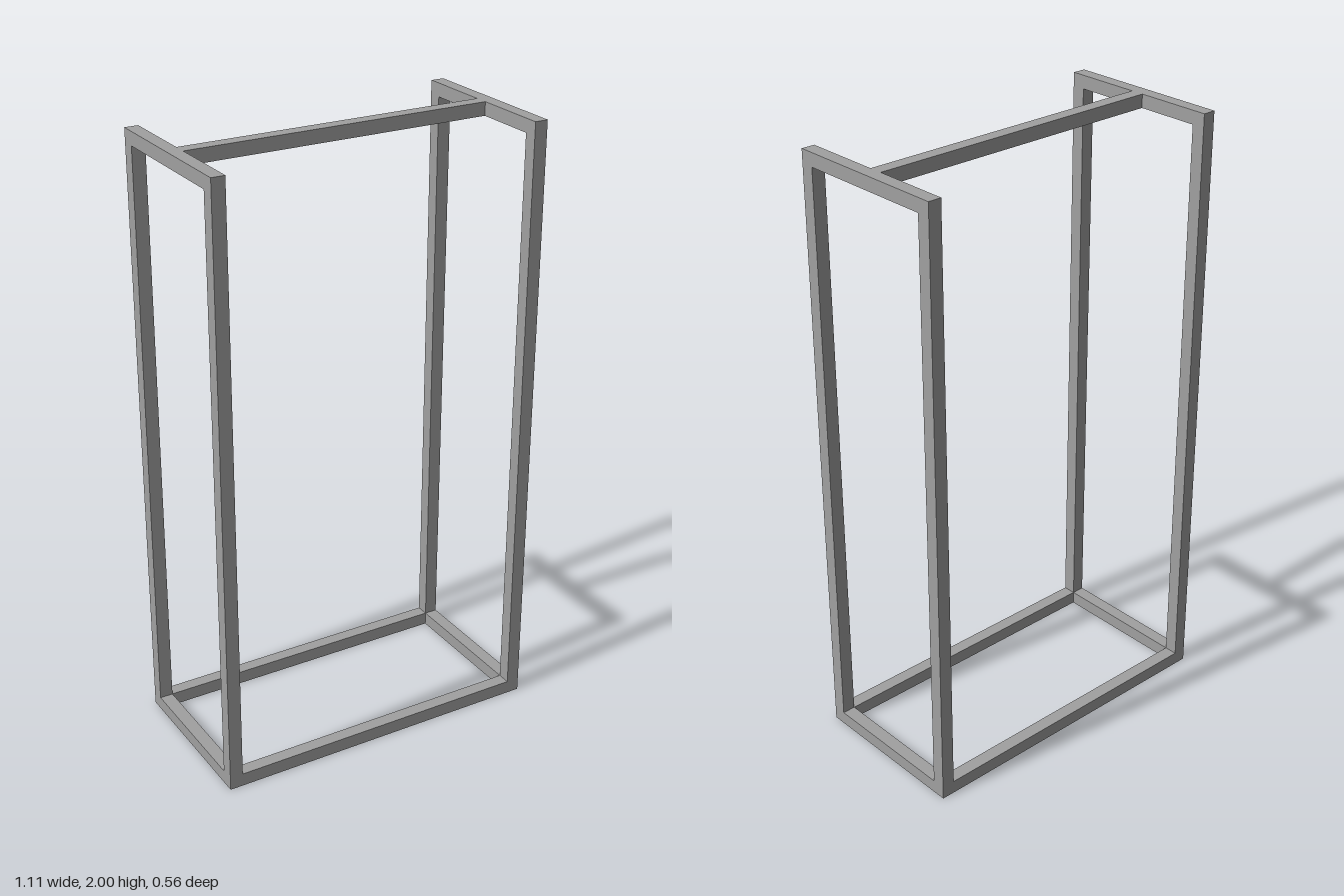
import * as THREE from 'three';

const W = 1.106, H = 2, D = 0.556, T = 0.044; // overall size and tube thickness

export function createModel() {
  const group = new THREE.Group();
  const steel = new THREE.MeshStandardMaterial({ color: 0xa0a0a0 });
  steel.name = 'grey steel';

  // Rectangular side frames: an outline with a hole, extruded along x
  const outline = new THREE.Shape([
    new THREE.Vector2(-D / 2, 0), new THREE.Vector2(D / 2, 0),
    new THREE.Vector2(D / 2, H), new THREE.Vector2(-D / 2, H),
  ]);
  outline.holes.push(new THREE.Path([
    new THREE.Vector2(-D / 2 + T, T), new THREE.Vector2(-D / 2 + T, H - T),
    new THREE.Vector2(D / 2 - T, H - T), new THREE.Vector2(D / 2 - T, T),
  ]));
  const frameGeometry = new THREE.ExtrudeGeometry(outline, { depth: T, bevelEnabled: false })
    .translate(0, 0, -T / 2)
    .rotateY(Math.PI / 2);
  for (const [name, side] of [['leftFrame', 1], ['rightFrame', -1]]) {
    const frame = new THREE.Mesh(frameGeometry, steel);
    frame.name = name;
    frame.position.x = side * (W - T) / 2;
    group.add(frame);
  }

  // Long rails between the frames: two at the floor, one hanging rail on top
  const railGeometry = new THREE.BoxGeometry(W - 2 * T, T, T);
  const rails = [
    ['frontBottomRail', T / 2, (D - T) / 2],
    ['backBottomRail', T / 2, -(D - T) / 2],
    ['hangingRail', H - T / 2, -0.001],
  ];
  for (const [name, y, z] of rails) {
    const rail = new THREE.Mesh(railGeometry, steel);
    rail.name = name;
    rail.position.set(0, y, z);
    group.add(rail);
  }
  return group;
}
